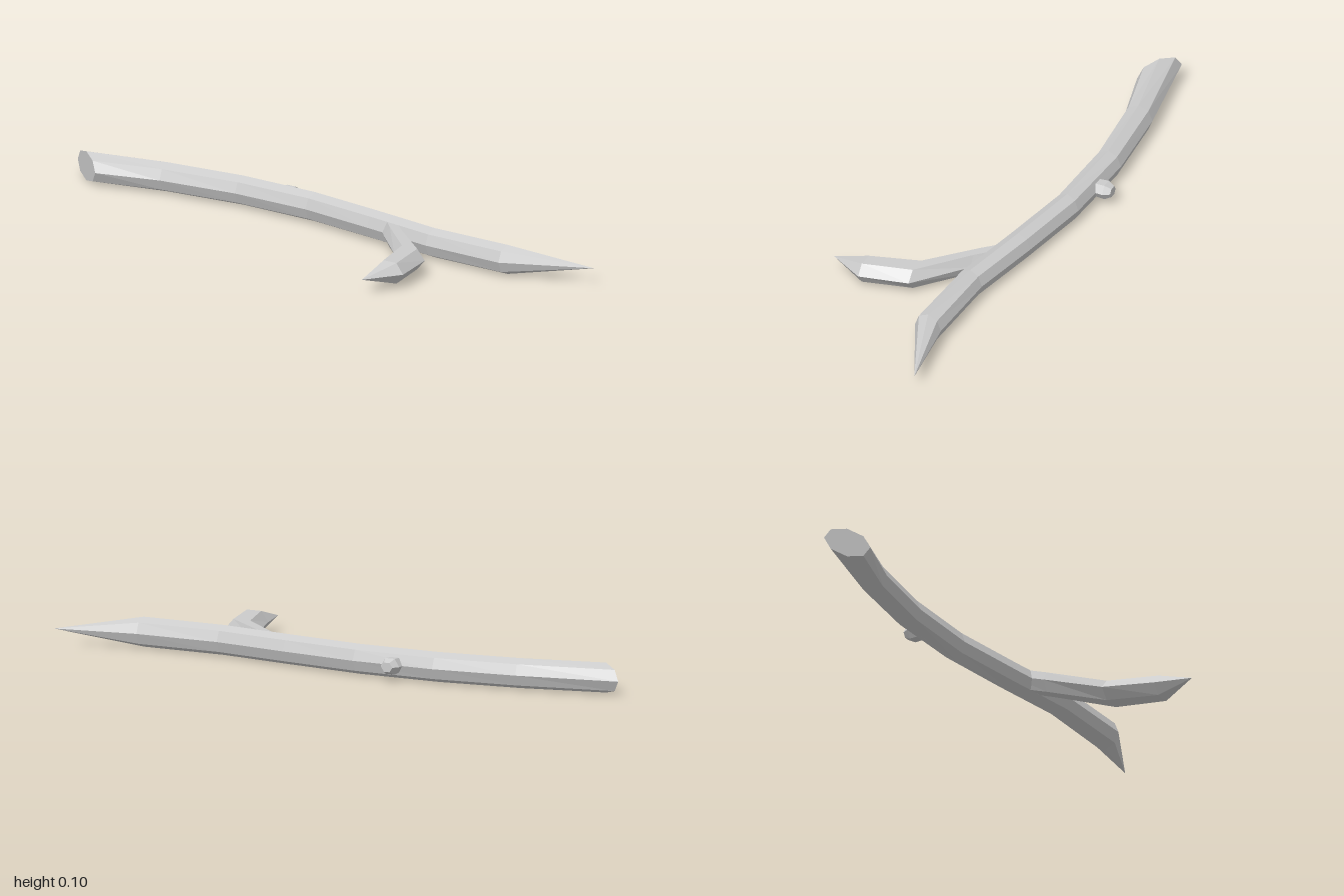
import * as THREE from 'three';

const MID = 0.048; // height of the stick's centre line

// Faceted limb through sections [x, z, halfX, halfZ, halfHeight]; zero-size sections make tips.
// The half vector is horizontal and points so that half x up = direction of travel.
function limb(name, sides, sections, material) {
  const pos = [];
  const rings = sections.map(([x, z, hx, hz, hy]) =>
    Array.from({ length: sides }, (_, j) => {
      const a = (j / sides) * Math.PI * 2;
      return [x + hx * Math.cos(a), MID + hy * Math.sin(a), z + hz * Math.cos(a)];
    }));
  const tri = (a, b, c) => pos.push(...a, ...b, ...c);
  const last = rings.length - 1;
  const isTip = (i) => sections[i][4] === 0;
  for (let j = 0; j < sides; j++) {
    const k = (j + 1) % sides;
    for (let i = 0; i < last; i++) {
      tri(rings[i][j], rings[i][k], rings[i + 1][k]);
      if (!isTip(i + 1)) tri(rings[i][j], rings[i + 1][k], rings[i + 1][j]);
    }
    // flat end caps
    const centre = (i) => [sections[i][0], MID, sections[i][1]];
    tri(centre(0), rings[0][k], rings[0][j]);
    if (!isTip(last)) tri(centre(last), rings[last][j], rings[last][k]);
  }
  const geo = new THREE.BufferGeometry();
  geo.setAttribute('position', new THREE.Float32BufferAttribute(pos, 3));
  geo.computeVertexNormals();
  const mesh = new THREE.Mesh(geo, material);
  mesh.name = name;
  return mesh;
}

export function createModel() {
  const group = new THREE.Group();
  group.name = 'stick';
  const wood = new THREE.MeshStandardMaterial({ color: 0xcccccc, flatShading: true });

  // Main stem: slanted cut at the back, pointed at the front
  group.add(limb('mainStem', 8, [
    [0.132, -0.932, 0.045, -0.068, 0.048],
    [0.193, -0.66, 0.047, -0.005, 0.048],
    [0.224, -0.383, 0.045, 0, 0.048],
    [0.22, -0.1, 0.042, 0.005, 0.048],
    [0.183, 0.17, 0.043, 0.006, 0.048],
    [0.142, 0.43, 0.043, 0.004, 0.048],
    [0.138, 0.72, 0.046, 0.002, 0.048],
    [0.226, 0.995, 0, 0, 0],
  ], wood));

  // Forked side branch
  group.add(limb('sideBranch', 6, [
    [0.18, 0.225, 0, 0.04, 0.039],
    [0.103, 0.305, 0, 0.045, 0.039],
    [-0.03, 0.46, 0, 0.06, 0.039],
    [-0.19, 0.503, 0, 0.051, 0.039],
    [-0.31, 0.482, 0, 0, 0],
  ], wood));

  // Small bud on the opposite side
  group.add(limb('knob', 6, [
    [0.24, -0.243, 0, -0.03, 0.026],
    [0.288, -0.243, 0, -0.033, 0.029],
    [0.31, -0.243, 0, -0.02, 0.017],
  ], wood));

  return group;
}
